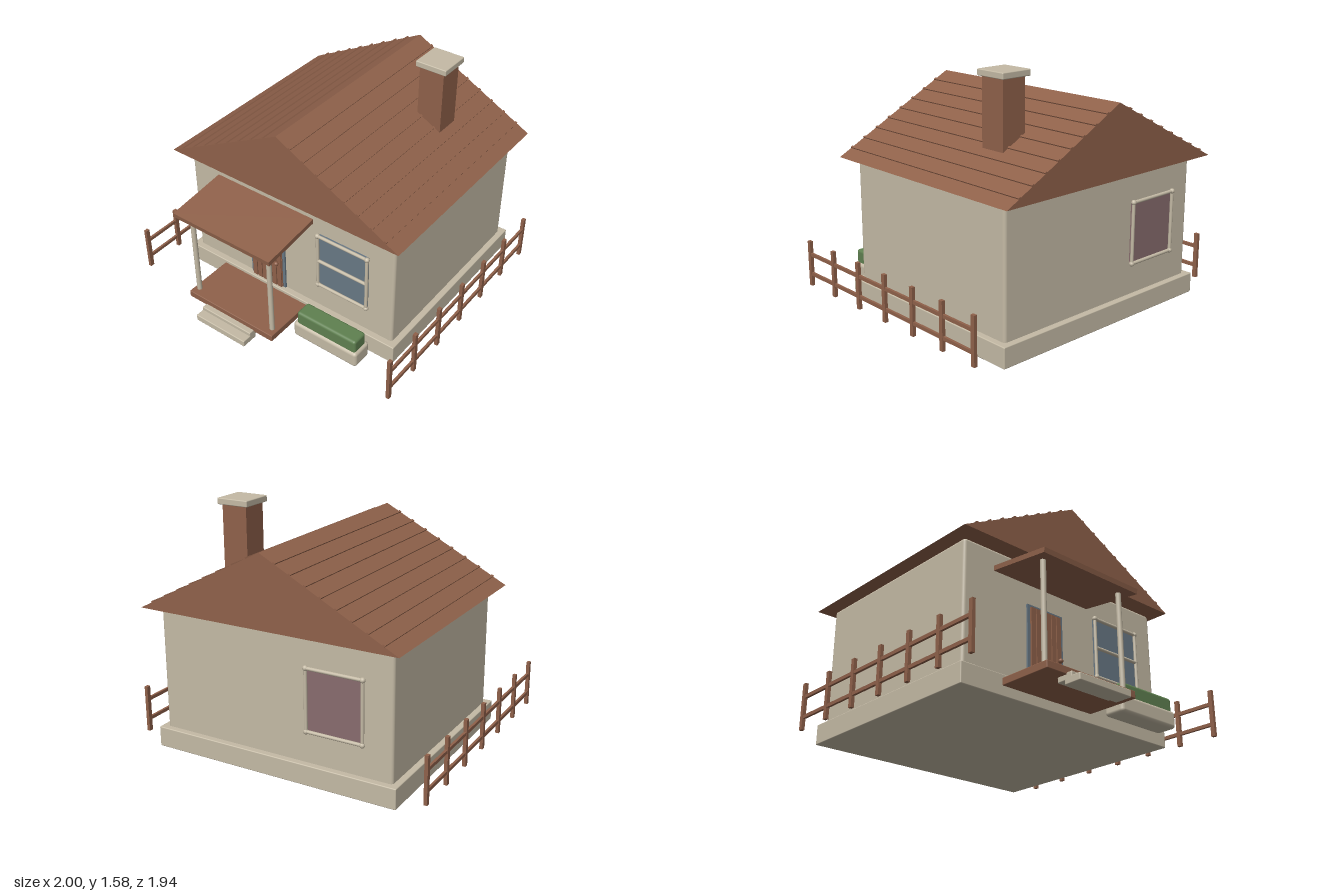
import * as THREE from 'three';
import { RoundedBoxGeometry } from 'three/addons/geometries/RoundedBoxGeometry.js';

const mat = (name, color) => Object.assign(new THREE.MeshStandardMaterial({ color }), { name });

export function createModel() {
  const house = new THREE.Group();
  house.name = 'cottage';
  const plaster = mat('plaster', 0xc4baa5);
  const wood = mat('brownWood', 0x8f614a);
  const blue = mat('blueGlass', 0x687885);
  const mauve = mat('mauveCurtain', 0x886c6e);
  const green = mat('hedgeGreen', 0x5f8050);

  const add = (name, geometry, material, parent = house) => {
    const mesh = new THREE.Mesh(geometry, material);
    mesh.name = name;
    parent.add(mesh);
    return mesh;
  };
  // Box given by its extents; a radius rounds the edges
  const box = (name, material, [x0, x1], [y0, y1], [z0, z1], radius = 0, parent = house) => {
    const size = [x1 - x0, y1 - y0, z1 - z0];
    const geometry = radius ? new RoundedBoxGeometry(...size, 3, radius) : new THREE.BoxGeometry(...size);
    const mesh = add(name, geometry, material, parent);
    mesh.position.set((x0 + x1) / 2, (y0 + y1) / 2, (z0 + z1) / 2);
    return mesh;
  };
  const group = (name) => {
    const g = new THREE.Group();
    g.name = name;
    house.add(g);
    return g;
  };

  // Foundation and walls
  box('foundation', plaster, [-0.838, 0.838], [0.005, 0.137], [-0.912, 0.52], 0.006);
  box('walls', plaster, [-0.798, 0.798], [0.1, 0.926], [-0.872, 0.478], 0.02);

  // Gable roof with raised battens along both slopes
  const halfWidth = 0.874, eaves = 0.94, ridge = 1.395;
  const gable = new THREE.Shape([
    new THREE.Vector2(-halfWidth, eaves),
    new THREE.Vector2(halfWidth, eaves),
    new THREE.Vector2(0, ridge),
  ]);
  add('roof', new THREE.ExtrudeGeometry(gable, { depth: 1.54, bevelEnabled: false }), wood).position.z = -0.97;
  const pitch = Math.atan2(ridge - eaves, halfWidth);
  const battens = group('roofBattens');
  for (const side of [-1, 1]) {
    for (let i = 1; i <= 8; i++) {
      const x = i * 0.0975;
      const batten = add('roofBatten', new THREE.BoxGeometry(0.016, 0.016, 1.54), wood, battens);
      batten.position.set(side * x, ridge - x * Math.tan(pitch), -0.2);
      batten.rotation.z = -side * pitch;
    }
  }

  // Chimney
  box('chimney', wood, [0.36, 0.532], [1.0, 1.545], [-0.57, -0.395]);
  box('chimneyCap', plaster, [0.338, 0.554], [1.54, 1.58], [-0.594, -0.376], 0.006);

  // Porch: deck, posts, sloping canopy and steps
  box('porchDeck', wood, [-0.54, 0.16], [0.068, 0.115], [0.5, 0.872], 0.005);
  for (const x of [-0.503, 0.118]) {
    add('porchPost', new THREE.CylinderGeometry(0.017, 0.017, 0.64, 16), plaster).position.set(x, 0.425, 0.815);
  }
  const canopy = add('porchCanopy', new THREE.BoxGeometry(0.77, 0.032, 0.436), wood);
  canopy.position.set(-0.19, 0.778, 0.684);
  canopy.rotation.x = Math.atan2(0.052, 0.43);
  box('lowerStep', plaster, [-0.395, 0.01], [0.01, 0.055], [0.855, 0.97], 0.006);
  box('upperStep', plaster, [-0.395, 0.01], [0.035, 0.08], [0.8, 0.91], 0.006);

  // Door with planks and knob
  const door = group('door');
  box('doorFrame', blue, [-0.32, -0.035], [0.115, 0.652], [0.46, 0.49], 0, door);
  box('doorPanel', wood, [-0.3, -0.055], [0.115, 0.634], [0.47, 0.495], 0, door);
  for (let i = 0; i < 6; i++) {
    const x = -0.3 + i * 0.0412;
    box('doorPlank', wood, [x, x + 0.034], [0.115, 0.634], [0.48, 0.503], 0, door);
  }
  add('doorKnob', new THREE.SphereGeometry(0.015, 16, 12), wood, door).position.set(-0.083, 0.342, 0.52);

  // Windows with round bars and corner knobs, built facing +z
  const makeWindow = (name, glass, hasMidBar) => {
    const w = group(name);
    const hw = 0.185, hh = 0.196, r = 0.011;
    add('glass', new THREE.BoxGeometry(0.37, 0.395, 0.02), glass, w);
    const bar = (x, y, length, horizontal) => {
      const b = add('windowBar', new THREE.CylinderGeometry(r, r, length, 12), plaster, w);
      b.position.set(x, y, 0.019);
      if (horizontal) b.rotation.z = Math.PI / 2;
    };
    for (const s of [-1, 1]) {
      bar(s * hw, 0, 2 * hh, false);
      bar(0, s * hh, 2 * hw, true);
      for (const t of [-1, 1]) {
        add('cornerKnob', new THREE.SphereGeometry(0.017, 12, 8), plaster, w).position.set(s * hw, t * hh, 0.019);
      }
    }
    if (hasMidBar) bar(0, 0, 2 * hw, true);
    return w;
  };
  makeWindow('frontWindow', blue, true).position.set(0.43, 0.531, 0.483);
  const back = makeWindow('backWindow', mauve, false);
  back.position.set(-0.43, 0.541, -0.875);
  back.rotation.y = Math.PI;

  // Planter with hedge
  box('planter', plaster, [0.215, 0.7], [0.048, 0.16], [0.578, 0.724], 0.022);
  box('hedge', green, [0.235, 0.684], [0.13, 0.245], [0.596, 0.71], 0.018);

  // Side fences
  for (const side of [-1, 1]) {
    const fence = group(side > 0 ? 'leftFence' : 'rightFence');
    fence.position.x = side * 0.989;
    for (let i = 0; i < 7; i++) {
      const z = 0.789 - i * 0.2705;
      box('fencePost', wood, [-0.011, 0.011], [0.048, 0.354], [z - 0.014, z + 0.014], 0, fence);
    }
    for (const y of [0.13, 0.264]) {
      box('fenceRail', wood, [-0.008, 0.008], [y - 0.011, y + 0.011], [-0.834, 0.789], 0, fence);
    }
  }
  return house;
}
